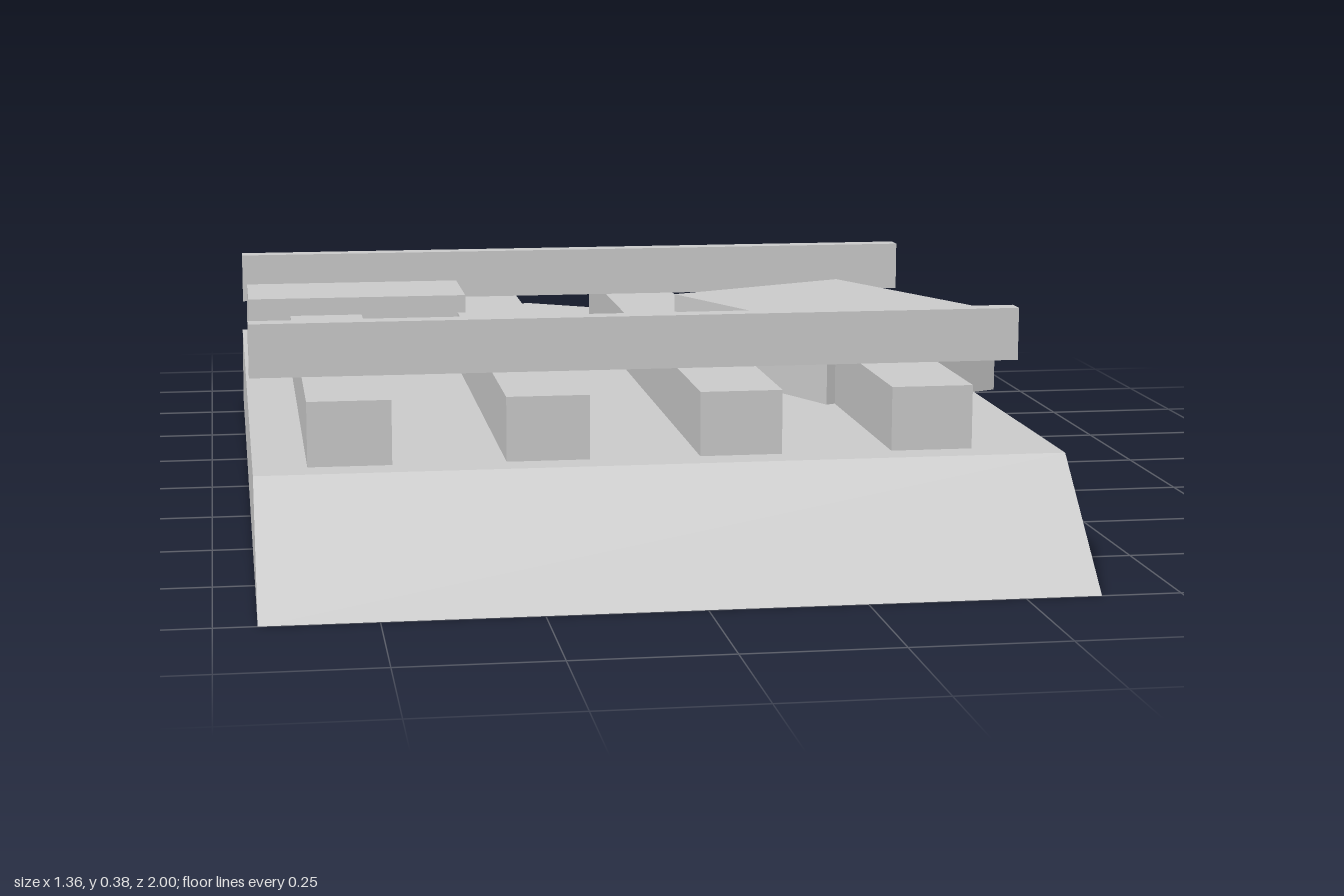
import * as THREE from 'three';

export function createModel() {
  const group = new THREE.Group();
  const grey = new THREE.MeshStandardMaterial({ color: 0xcccccc });
  grey.name = 'light grey';

  function add(name, geometry) {
    const mesh = new THREE.Mesh(geometry, grey);
    mesh.name = name;
    group.add(mesh);
    return mesh;
  }

  // Box from its extents on each axis
  function block(name, [x0, x1], [y0, y1], [z0, z1]) {
    const mesh = add(name, new THREE.BoxGeometry(x1 - x0, y1 - y0, z1 - z0));
    mesh.position.set((x0 + x1) / 2, (y0 + y1) / 2, (z0 + z1) / 2);
    return mesh;
  }

  // Base slab with sloping front and back; profile runs along z
  const profile = new THREE.Shape([
    new THREE.Vector2(-0.89, 0),
    new THREE.Vector2(1, 0),
    new THREE.Vector2(0.79, 0.185),
    new THREE.Vector2(-0.68, 0.185),
  ]);
  const base = new THREE.ExtrudeGeometry(profile, { depth: 1.305, bevelEnabled: false });
  base.rotateY(-Math.PI / 2);
  base.translate(0.622, 0, 0);
  add('base', base);

  // Four beams lying front to back
  for (const x of [-0.53, -0.214, 0.099, 0.414]) {
    block('beam', [x - 0.067, x + 0.067], [0.185, 0.29], [-0.626, 0.735]);
  }

  // Two thin rails across the beams
  for (const z of [-0.386, 0.49]) {
    block('rail', [-0.683, 0.622], [0.29, 0.38], [z - 0.018, z + 0.018]);
  }

  // Straight crate
  block('straightCrate', [-0.675, -0.266], [0.18, 0.323], [-0.488, -0.165]);

  // Turned crate overhanging the side
  const turned = block('turnedCrate', [0.213, 0.597], [0.175, 0.323], [-0.222, 0.262]);
  turned.rotation.y = 0.427;

  // Crate half sunk into the back slope
  const sunk = block('sunkenCrate', [-0.198, 0.138], [0.035, 0.181], [-0.942, -0.522]);
  sunk.rotation.y = -0.563;

  return group;
}
